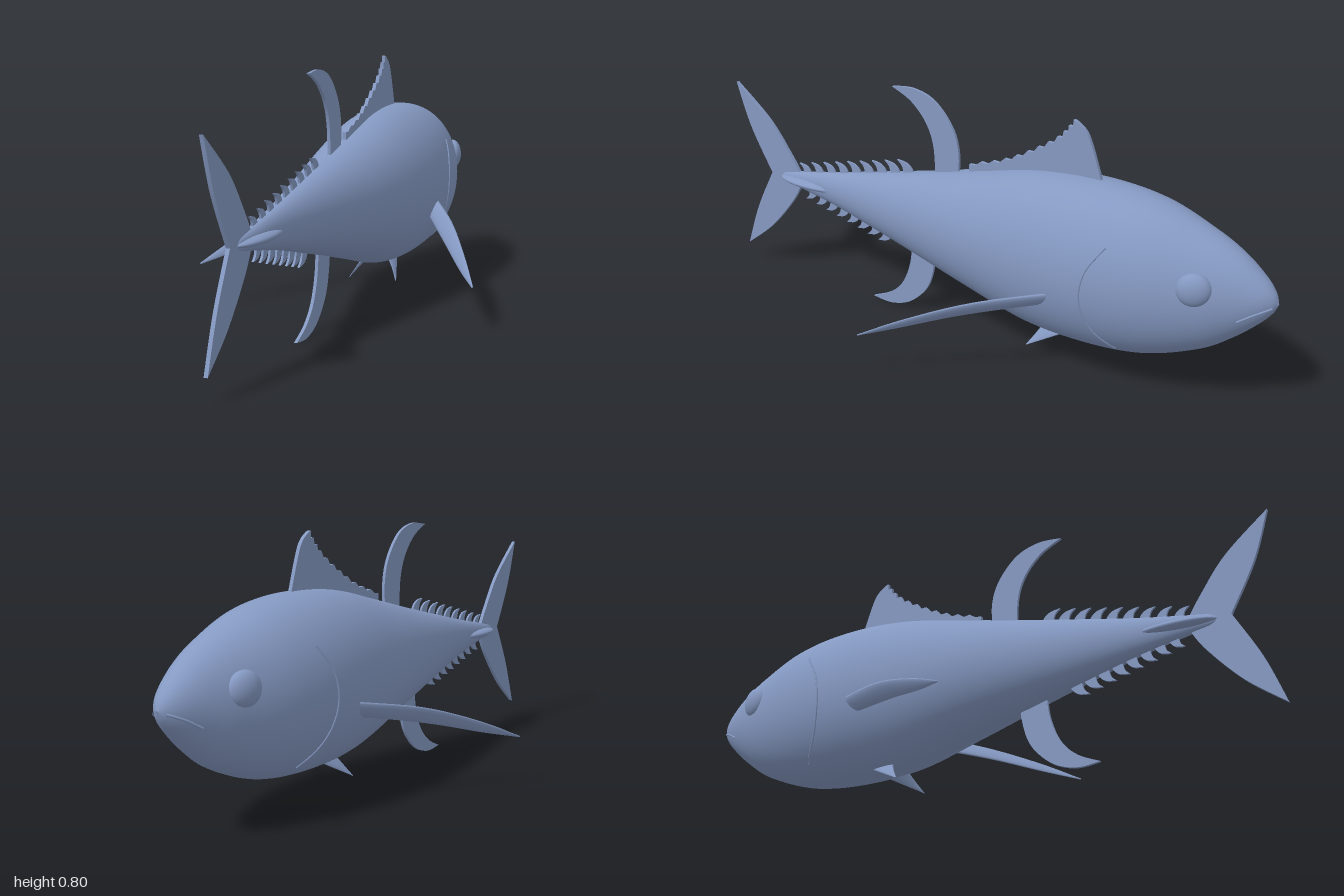
import * as THREE from 'three';

const V = (x, y, z) => new THREE.Vector3(x, y, z);

// Body stations from nose to tail: z, top y, bottom y, half width
const STATIONS = [
  [-1, 0.378, 0.376, 0.001], [-0.985, 0.412, 0.345, 0.026], [-0.95, 0.451, 0.304, 0.054],
  [-0.88, 0.505, 0.241, 0.089], [-0.786, 0.552, 0.178, 0.128], [-0.62, 0.61, 0.117, 0.178],
  [-0.43, 0.631, 0.098, 0.197], [-0.22, 0.617, 0.11, 0.186], [0, 0.567, 0.166, 0.154],
  [0.2, 0.519, 0.219, 0.113], [0.4, 0.474, 0.27, 0.072], [0.58, 0.434, 0.314, 0.039],
  [0.73, 0.405, 0.342, 0.021], [0.8, 0.391, 0.354, 0.012], [0.825, 0.373, 0.371, 0.001],
];
const heights = new THREE.CatmullRomCurve3(
  STATIONS.map(([z, t, b]) => V(z, (t + b) / 2, (t - b) / 2)), false, 'catmullrom');
const widths = new THREE.CatmullRomCurve3(
  STATIONS.map((s) => V(s[3], 0, 0)), false, 'catmullrom');

function station(t) {
  const h = heights.getPoint(t);
  return { z: h.x, cy: h.y, hy: h.z, w: widths.getPoint(t).x };
}

// Half width of the body at a given height and length
function sideX(y, z) {
  let lo = 0, hi = 1;
  for (let i = 0; i < 30; i++) {
    const m = (lo + hi) / 2;
    if (station(m).z < z) lo = m; else hi = m;
  }
  const s = station(lo);
  return s.w * Math.sqrt(Math.max(0, 1 - ((y - s.cy) / s.hy) ** 2));
}

// Smooth skin over closed rings of equal point count
function loft(rings) {
  const n = rings[0].length, index = [];
  for (let i = 0; i < rings.length - 1; i++) {
    for (let j = 0; j < n; j++) {
      const a = i * n + j, b = i * n + (j + 1) % n;
      index.push(a, b, a + n, b, b + n, a + n);
    }
  }
  const g = new THREE.BufferGeometry().setFromPoints(rings.flat());
  g.setIndex(index);
  g.computeVertexNormals();
  return g;
}

// Lens-shaped blade between a leading and a trailing edge
function blade(lead, trail, thickness) {
  const L = new THREE.CatmullRomCurve3(lead), T = new THREE.CatmullRomCurve3(trail);
  const dir = lead[lead.length - 1].clone().sub(lead[0]);
  const rings = [];
  for (let i = 0; i <= 16; i++) {
    const t = i / 16, p = L.getPoint(t), q = T.getPoint(t);
    const mid = p.clone().add(q).multiplyScalar(0.5);
    const half = p.clone().sub(q).multiplyScalar(0.5);
    const up = dir.clone().cross(half).normalize().multiplyScalar(thickness * (1 - 0.8 * t));
    rings.push(Array.from({ length: 12 }, (_, j) => {
      const a = j / 12 * Math.PI * 2;
      return mid.clone().addScaledVector(half, Math.cos(a)).addScaledVector(up, Math.sin(a));
    }));
  }
  return loft(rings);
}

// Thin upright fin on the centre plane; each edge is a smooth run of [z, y]
function uprightFin(edges, depth = 0.01) {
  const shape = new THREE.Shape();
  shape.moveTo(...edges[0][0]);
  edges.forEach((edge, i) => {
    const pts = edge.map((p) => new THREE.Vector2(...p));
    if (i > 0) shape.lineTo(pts[0].x, pts[0].y);
    if (pts.length > 2) shape.splineThru(pts.slice(1));
    else if (pts.length === 2) shape.lineTo(pts[1].x, pts[1].y);
  });
  const g = new THREE.ExtrudeGeometry(shape, { depth, bevelEnabled: false, curveSegments: 10 });
  return g.translate(0, 0, -depth / 2).rotateY(-Math.PI / 2);
}

export function createModel() {
  const group = new THREE.Group();
  const skin = new THREE.MeshStandardMaterial({ color: 0x8599c2 });
  skin.name = 'blue grey skin';
  const add = (name, geometry) => {
    const mesh = new THREE.Mesh(geometry, skin);
    mesh.name = name;
    group.add(mesh);
    return mesh;
  };

  // Body
  const rings = [];
  for (let i = 0; i <= 112; i++) {
    const s = station(i / 112);
    rings.push(Array.from({ length: 64 }, (_, j) => {
      const a = j / 64 * Math.PI * 2;
      return V(s.w * Math.cos(a), s.cy + s.hy * Math.sin(a), s.z);
    }));
  }
  add('body', loft(rings));

  // Side keels at the tail root
  const keel = add('tailKeel', new THREE.SphereGeometry(1, 32, 20));
  keel.scale.set(0.046, 0.017, 0.14);
  keel.position.set(0, 0.372, 0.68);

  // First dorsal fin with a stepped rear edge
  const steps = [];
  const rear = new THREE.CatmullRomCurve3(
    [V(-0.337, 0.797, 0), V(-0.29, 0.74, 0), V(-0.2, 0.678, 0), V(-0.09, 0.62, 0), V(0.03, 0.582, 0)]);
  for (let i = 0; i < 11; i++) {
    const p = rear.getPoint(i / 11), q = rear.getPoint((i + 0.75) / 11);
    steps.push([[p.x + 0.006, p.y + 0.004]], [[q.x - 0.005, q.y - 0.002]]);
  }
  add('firstDorsalFin', uprightFin([
    [[0.035, 0.53], [-0.42, 0.6]], [[-0.43, 0.628], [-0.383, 0.757], [-0.342, 0.797]],
    ...steps, [[0.035, 0.582]],
  ], 0.012));

  // Second dorsal and anal fins, sickle shaped
  add('secondDorsalFin', uprightFin([
    [[0.08, 0.5], [0.075, 0.607], [0.10, 0.69], [0.166, 0.765], [0.246, 0.793], [0.328, 0.787]],
    [[0.328, 0.787], [0.255, 0.75], [0.198, 0.687], [0.17, 0.607], [0.165, 0.48]],
  ]));
  add('analFin', uprightFin([
    [[0.172, 0.27], [0.176, 0.19], [0.205, 0.1], [0.273, 0.03], [0.353, 0.001], [0.432, 0.006]],
    [[0.432, 0.006], [0.36, 0.04], [0.305, 0.095], [0.272, 0.18], [0.262, 0.28]],
  ]));

  // Tail fin
  add('tailFin', uprightFin([
    [[0.73, 0.39], [0.775, 0.46], [0.86, 0.57], [0.998, 0.685]],
    [[0.998, 0.685], [0.945, 0.53], [0.862, 0.375]],
    [[0.862, 0.375], [0.94, 0.225], [0.998, 0.07]],
    [[0.998, 0.07], [0.88, 0.165], [0.775, 0.285], [0.73, 0.36]],
  ], 0.012));

  // Finlets above and below the tail root
  const finlets = (name, count, z0, z1, y0, y1, s) => {
    for (let i = 0; i < count; i++) {
      const f = i / (count - 1), z = z0 + (z1 - z0) * f, y = y0 + (y1 - y0) * f;
      const k = 1.05 - 0.25 * f;
      const at = (dz, dy) => [z + dz * k, y + s * dy * k];
      add(name, uprightFin([
        [at(-0.02, -0.025), at(-0.012, 0.01), at(0.01, 0.03), at(0.045, 0.036)],
        [at(0.045, 0.036), at(0.026, 0.016), at(0.018, -0.025)],
      ], 0.007));
    }
  };
  finlets('upperFinlet', 9, 0.27, 0.7, 0.5, 0.407, 1);
  finlets('lowerFinlet', 8, 0.36, 0.68, 0.264, 0.337, -1);

  for (const s of [1, -1]) {
    const side = s > 0 ? 'left' : 'right';
    const flip = (pts) => pts.map(([x, y, z]) => V(s * x, y, z));

    // Pectoral fin
    add(side + 'PectoralFin', blade(
      flip([[0.165, 0.322, -0.4], [0.3, 0.276, -0.16], [0.4, 0.205, 0.035], [0.457, 0.149, 0.152]]),
      flip([[0.165, 0.265, -0.33], [0.29, 0.216, -0.11], [0.39, 0.169, 0.055], [0.455, 0.145, 0.154]]),
      0.01));

    // Pelvic fin
    add(side + 'PelvicFin', blade(
      flip([[0.035, 0.13, -0.38], [0.062, 0.088, -0.3], [0.084, 0.052, -0.23]]),
      flip([[0.035, 0.13, -0.27], [0.062, 0.09, -0.25], [0.083, 0.051, -0.226]]),
      0.006));

    // Eye bulge
    const eye = add(side + 'Eye', new THREE.SphereGeometry(1, 32, 20));
    eye.scale.set(0.03, 0.052, 0.052);
    eye.position.set(s * 0.114, 0.414, -0.787);
    eye.rotation.y = s * 0.35;

    // Raised lines following the skin: gill edge and mouth
    const ridge = (name, pts, radius) => {
      const guide = new THREE.CatmullRomCurve3(pts.map(([z, y]) => V(0, y, z)));
      const path = guide.getPoints(14).map((p) => V(s * sideX(p.y, p.z), p.y, p.z));
      add(side + name, new THREE.TubeGeometry(new THREE.CatmullRomCurve3(path), 32, radius, 6));
    };
    ridge('GillEdge', [[-0.53, 0.5], [-0.48, 0.42], [-0.465, 0.33], [-0.49, 0.23], [-0.55, 0.15]], 0.0035);
    ridge('MouthEdge', [[-0.988, 0.37], [-0.95, 0.352], [-0.905, 0.325]], 0.004);
  }
  return group;
}
